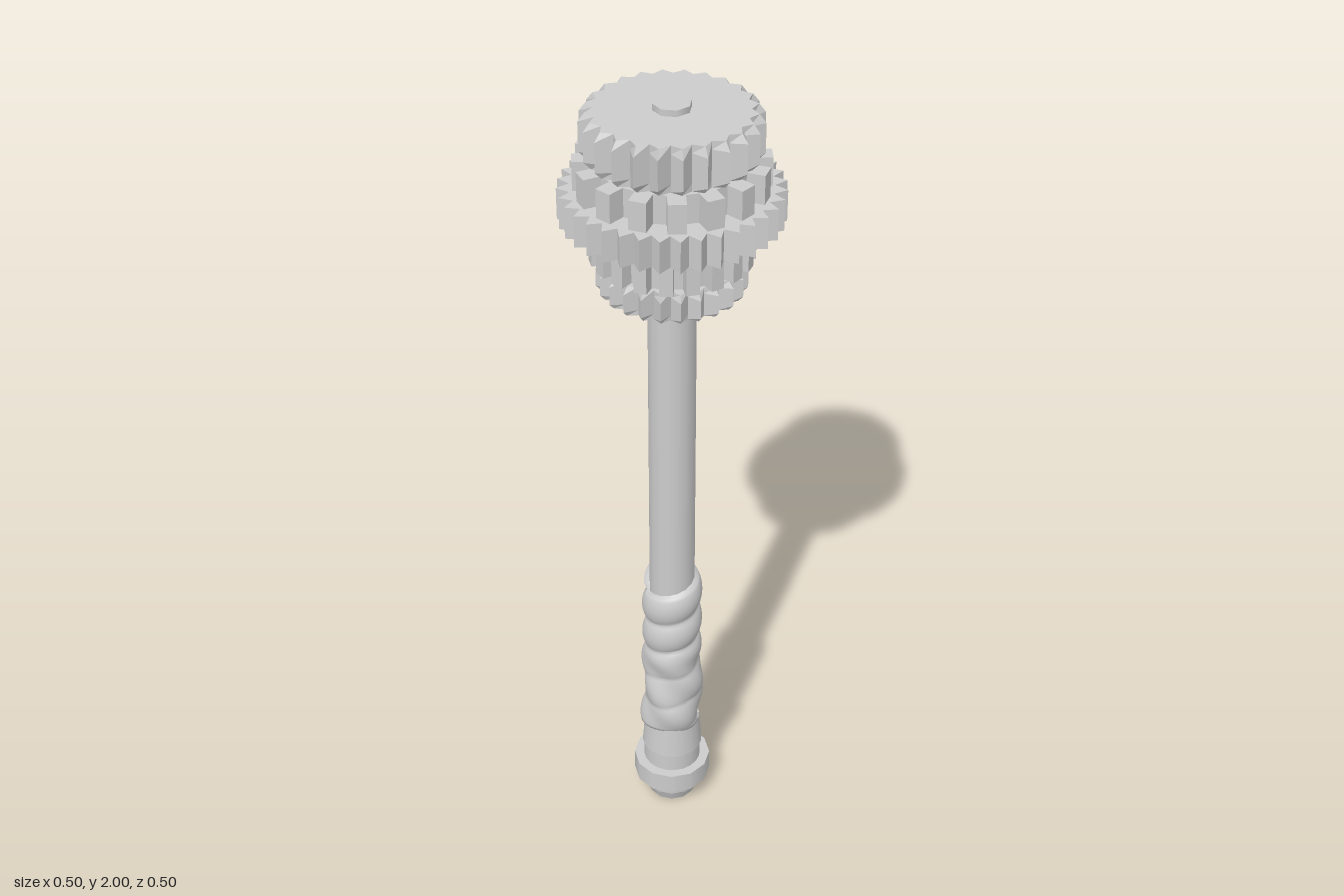
import * as THREE from 'three';
import { mergeVertices } from 'three/addons/utils/BufferGeometryUtils.js';

const TAU = Math.PI * 2;

// Closed skin over stacked loops; at(row, i) gives [radius, angle, y], angle runs from +z to +x
function loft(rows, n, at, smooth = false) {
  const pos = [];
  const put = (r, a, y) => pos.push(r * Math.sin(a), y, r * Math.cos(a));
  for (let j = 0; j < rows - 1; j++) {
    for (let i = 0; i < n; i++) {
      const a = at(j, i), b = at(j, i + 1), c = at(j + 1, i + 1), d = at(j + 1, i);
      for (const p of [a, b, c, a, c, d]) put(...p);
    }
  }
  if (!smooth) {
    for (let i = 0; i < n; i++) {
      const top = rows - 1;
      put(0, 0, at(top, i)[2]); put(...at(top, i)); put(...at(top, i + 1));
      put(0, 0, at(0, i)[2]); put(...at(0, i + 1)); put(...at(0, i));
    }
  }
  let geo = new THREE.BufferGeometry();
  geo.setAttribute('position', new THREE.Float32BufferAttribute(pos, 3));
  if (smooth) geo = mergeVertices(geo, 1e-5);
  geo.computeVertexNormals();
  return geo;
}

// Pointed gear; levels are [y, greatest radius], which bevels the tips
function spikedGear(teeth, outer, root, levels) {
  return loft(levels.length, teeth * 2, (j, i) => {
    const r = i % 2 ? outer : root;
    return [Math.min(r, levels[j][1]), (i * Math.PI) / teeth, levels[j][0]];
  });
}

// Square toothed gear with teeth of constant width
function squareGear(teeth, outer, root, width, y0, y1) {
  return loft(2, teeth * 4, (j, i) => {
    const k = i % 4, tooth = Math.floor(i / 4);
    const r = k === 1 || k === 2 ? outer : root;
    const half = Math.asin(width / 2 / r);
    const a = ((tooth + 0.5) * TAU) / teeth + (k < 2 ? -half : half);
    return [r, a, j ? y1 : y0];
  });
}

export function createModel() {
  const model = new THREE.Group();
  const grey = new THREE.MeshStandardMaterial({ color: 0xcccccc });
  grey.name = 'lightGrey';
  const add = (name, geo, y = 0) => {
    const mesh = new THREE.Mesh(geo, grey);
    mesh.name = name;
    mesh.position.y = y;
    model.add(mesh);
  };
  const drum = (name, rTop, rBottom, y0, y1, sides) =>
    add(name, new THREE.CylinderGeometry(rTop, rBottom, y1 - y0, sides), (y0 + y1) / 2);

  // Gear head, top to bottom
  drum('topPin', 0.043, 0.043, 1.9, 2, 8);
  add('topGear', spikedGear(24, 0.2, 0.168,
    [[1.877, 0.183], [1.895, 0.2], [1.965, 0.2], [1.985, 0.185]]));
  add('upperGear', squareGear(16, 0.216, 0.175, 0.04, 1.805, 1.874));
  add('largeGear', spikedGear(36, 0.25, 0.222, [[1.73, 0.25], [1.805, 0.25]]));
  add('lowerGear', squareGear(20, 0.185, 0.155, 0.03, 1.635, 1.715));
  add('bottomGear', spikedGear(24, 0.17, 0.142,
    [[1.55, 0.158], [1.563, 0.17], [1.607, 0.17], [1.622, 0.158]]));
  drum('gearCore', 0.13, 0.13, 1.6, 1.9, 24);

  // Shaft
  drum('shaft', 0.056, 0.056, 0.1, 1.6, 16);

  // Spiral grip wrap with a slanted upper edge and a loose, lumpy lower half
  const segs = 48, rows = 64, pitch = 0.09;
  add('gripWrap', loft(rows, segs, (j, i) => {
    const u = (i % segs) / segs, a = u * TAU - Math.PI / 4;
    const top = u < 0.75 ? 0.68 + 0.07 * (u / 0.75) : 0.75 - 0.07 * ((u - 0.75) / 0.25);
    const y = 0.245 + (top - 0.245) * (j / (rows - 1));
    const band = Math.pow(Math.abs(Math.sin(Math.PI * ((y - 0.68) / pitch - u))), 0.6);
    const loose = THREE.MathUtils.smoothstep(0.52 - y, 0, 0.08);
    const lump = 0.004 * Math.sin(3 * a + 40 * y) + 0.004 * Math.cos(a - 22 * y);
    let r = 0.06 + 0.015 * band * (1 - 0.55 * loose) + loose * (0.008 + lump);
    if (j === 0 || j === rows - 1) r = 0.054;
    return [r, a, y];
  }, true));

  // Pommel collars and end cap
  drum('slantCollar', 0.07, 0.077, 0.17, 0.255, 20);
  drum('lowerCollar', 0.073, 0.073, 0.1, 0.172, 20);
  drum('pommelRing', 0.098, 0.098, 0.062, 0.118, 12);
  drum('pommelCap', 0.074, 0.072, 0.03, 0.07, 12);
  drum('pommelEnd', 0.072, 0.06, 0, 0.03, 12);
  return model;
}
